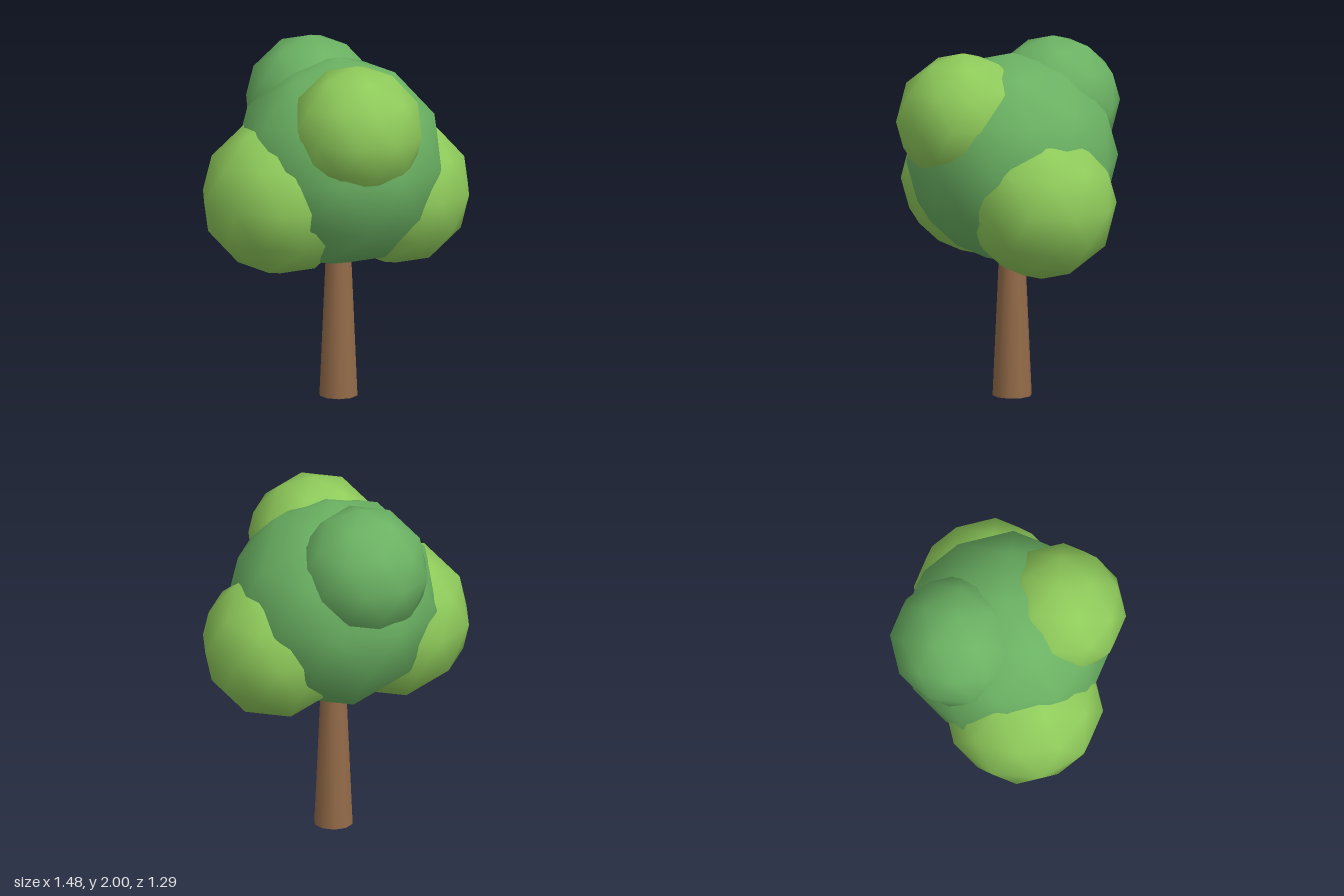
import * as THREE from 'three';

export function createModel() {
  const tree = new THREE.Group();
  tree.name = 'tree';

  const paint = (name, color) => {
    const m = new THREE.MeshStandardMaterial({ color });
    m.name = name;
    return m;
  };
  const bark = paint('bark brown', 0x946b49);
  const deepGreen = paint('deep green', 0x6bb263);
  const limeGreen = paint('lime green', 0x8fcb5b);

  const add = (name, geometry, material, x, y, z) => {
    const mesh = new THREE.Mesh(geometry, material);
    mesh.name = name;
    mesh.position.set(x, y, z);
    tree.add(mesh);
    return mesh;
  };

  // Tapered ten-sided trunk, its top hidden inside the foliage
  add('trunk', new THREE.CylinderGeometry(0.065, 0.11, 1, 10), bark, 0.012, 0.5, -0.02);

  // Smooth-shaded icosphere, tipped so that a corner points straight up
  const ball = new THREE.IcosahedronGeometry(1, 1);
  ball.rotateZ(-Math.atan(2 / (1 + Math.sqrt(5))));

  // Foliage: name, material, centre, radius
  const foliage = [
    ['crown', deepGreen, 0.012, 1.345, -0.02, 0.595],
    ['backTopFoliage', deepGreen, -0.135, 1.625, -0.273, 0.375],
    ['frontTopFoliage', limeGreen, 0.105, 1.59, 0.268, 0.378],
    ['rightFoliage', limeGreen, -0.315, 1.18, 0.108, 0.447],
    ['leftFoliage', limeGreen, 0.335, 1.145, -0.135, 0.422],
  ];
  for (const [name, material, x, y, z, radius] of foliage) {
    add(name, ball, material, x, y, z).scale.setScalar(radius);
  }

  return tree;
}
